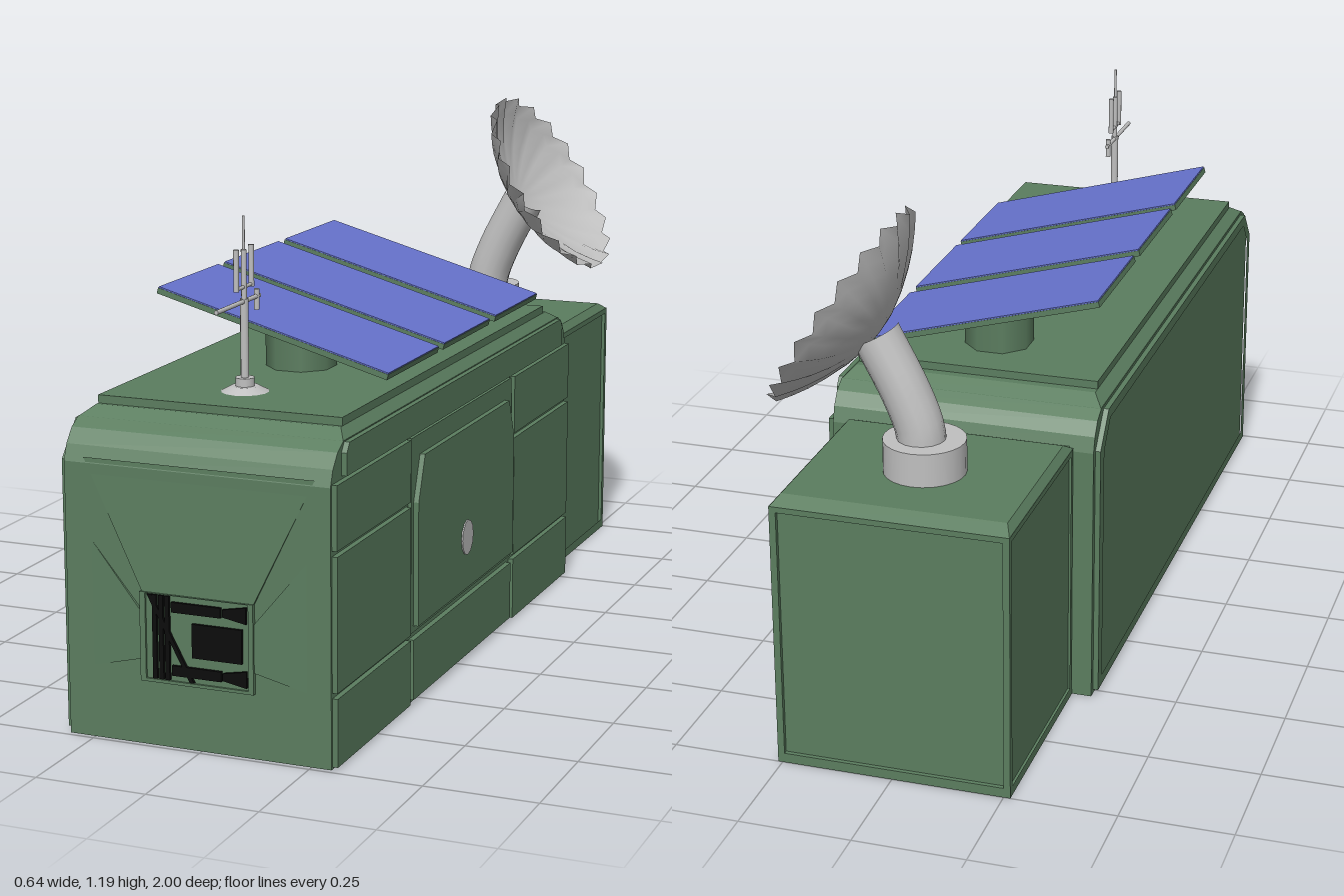
import * as THREE from 'three';
import { ConvexGeometry } from 'three/addons/geometries/ConvexGeometry.js';

const mat = (name, color, extra = {}) => {
  const m = new THREE.MeshStandardMaterial({ color, ...extra });
  m.name = name;
  return m;
};

export function createModel() {
  const green = mat('green paint', 0x5b7d5f);
  const blue = mat('solar blue', 0x6672cc);
  const grey = mat('light grey', 0xc0c0c0);
  const dishGrey = mat('dish grey', 0xc0c0c0, { side: THREE.DoubleSide });
  const black = mat('black', 0x0a0a0a);
  const root = new THREE.Group();
  root.name = 'mobileStation';

  const add = (name, geo, material, parent = root) => {
    const m = new THREE.Mesh(geo, material);
    m.name = name;
    parent.add(m);
    return m;
  };
  // Box given by its extents
  const box = (name, x0, x1, y0, y1, z0, z1, material = green) =>
    add(name, new THREE.BoxGeometry(x1 - x0, y1 - y0, z1 - z0)
      .translate((x0 + x1) / 2, (y0 + y1) / 2, (z0 + z1) / 2), material);
  const shapeOf = (pts, hole) => {
    const s = new THREE.Shape(pts.map(p => new THREE.Vector2(...p)));
    if (hole) s.holes.push(new THREE.Path(hole.map(p => new THREE.Vector2(...p))));
    return s;
  };
  const extrude = (shape, depth) => new THREE.ExtrudeGeometry(shape, { depth, bevelEnabled: false });
  // Outline of [z, y] points extruded from x0 to x1
  const slabX = (name, pts, x0, x1, hole, material = green) => {
    const flip = a => a && a.map(([z, y]) => [-z, y]);
    return add(name, extrude(shapeOf(flip(pts), flip(hole)), x1 - x0).rotateY(Math.PI / 2).translate(x0, 0, 0), material);
  };
  // Outline of [x, y] points extruded from z0 to z1
  const slabZ = (name, pts, z0, z1, hole, material = green) =>
    add(name, extrude(shapeOf(pts, hole), z1 - z0).translate(0, 0, z0), material);
  const rect = (a0, a1, b0, b1) => [[a0, b0], [a1, b0], [a1, b1], [a0, b1]];
  const hull = (name, pts) => add(name, new ConvexGeometry(pts.map(p => new THREE.Vector3(...p))), green);
  // Tapered roof between a lower and an upper rectangle [x0, x1, z0, z1]
  const taper = (name, lo, hi, y0, y1) => hull(name, [[lo, y0], [hi, y1]].flatMap(([r, y]) =>
    [[r[0], y, r[2]], [r[1], y, r[2]], [r[0], y, r[3]], [r[1], y, r[3]]]));
  const rod = (name, r, from, to, material = grey, sides = 10) => {
    const a = new THREE.Vector3(...from), b = new THREE.Vector3(...to);
    const m = add(name, new THREE.CylinderGeometry(r, r, a.distanceTo(b), sides), material);
    m.position.copy(a).lerp(b, 0.5);
    m.quaternion.setFromUnitVectors(new THREE.Vector3(0, 1, 0), b.sub(a).normalize());
    return m;
  };

  // Main cabin with rounded front and rear roof edges
  slabX('cabin', [[-0.53, 0], [0.988, 0], [0.988, 0.6], [0.975, 0.635], [0.95, 0.665], [0.92, 0.682],
    [-0.47, 0.682], [-0.5, 0.665], [-0.52, 0.635], [-0.53, 0.6]], -0.31, 0.295);
  taper('roofEdge', [-0.31, 0.295, -0.47, 0.92], [-0.285, 0.275, -0.43, 0.885], 0.681, 0.702);
  box('roofPlate', -0.285, 0.275, 0.69, 0.72, -0.41, 0.877);

  // Right wall: raised frame around a plain panel
  slabX('rightWallFrame',
    [[-0.515, 0.01], [0.975, 0.01], [0.975, 0.6], [0.91, 0.675], [-0.45, 0.675], [-0.515, 0.6]], -0.322, -0.31,
    [[-0.485, 0.035], [0.945, 0.035], [0.945, 0.59], [0.895, 0.65], [-0.435, 0.65], [-0.485, 0.59]]);

  // Left wall: panel columns, top band and door
  for (const [z0, z1] of [[0.57, 0.982], [-0.525, -0.11]])
    for (const [y0, y1] of [[0.005, 0.153], [0.165, 0.455], [0.467, 0.605]])
      box('wallPanel', 0.29, 0.307, y0, y1, z0, z1);
  slabX('topBand', [[-0.47, 0.612], [0.93, 0.612], [0.93, 0.66], [0.915, 0.68], [-0.455, 0.68], [-0.47, 0.66]], 0.29, 0.307);
  box('doorSurround', 0.29, 0.303, 0.165, 0.605, -0.098, 0.558);
  slabX('door', [[-0.085, 0.18], [0.545, 0.18], [0.545, 0.46], [0.507, 0.56], [-0.05, 0.56], [-0.085, 0.47]], 0.295, 0.315);
  box('doorStep', 0.29, 0.308, 0.012, 0.15, -0.09, 0.555);
  const knob = add('doorDisc', new THREE.CylinderGeometry(0.036, 0.036, 0.006, 12).rotateZ(Math.PI / 2), grey);
  knob.position.set(0.315, 0.302, 0.238);
  knob.scale.y = 1.15;

  // Nose: control box with wedges sloping up to it
  const zf = 0.987, zr = 0.995;
  hull('noseTopWedge', [[-0.265, 0.612, zf], [0.26, 0.612, zf], [-0.13, 0.337, zf], [0.125, 0.337, zf],
    [-0.13, 0.337, zr], [0.125, 0.337, zr]]);
  for (const s of [-1, 1]) {
    const x = d => -0.004 + s * d;
    hull('noseSideWedge', [[x(0.262), 0.455, zf], [x(0.262), 0.155, zf], [x(0.13), 0.295, zf], [x(0.13), 0.19, zf],
      [x(0.13), 0.295, zr], [x(0.13), 0.19, zr]]);
  }
  slabZ('controlFrame', rect(-0.135, 0.125, 0.143, 0.338), 0.98, 0.998, rect(-0.122, 0.114, 0.15, 0.336));
  box('controlPlate', -0.125, 0.116, 0.148, 0.337, 0.98, 0.993);
  const detail = (name, pts) => slabZ(name, pts, 0.992, 1.0, null, black);
  for (const x of [-0.1, -0.085, -0.071]) detail('controlBar', rect(x - 0.005, x + 0.005, 0.152, 0.335));
  detail('controlStrut', [[-0.117, 0.335], [-0.107, 0.335], [-0.01, 0.152], [-0.02, 0.152]]);
  for (const y of [0.312, 0.174]) {
    detail('controlLever', rect(-0.061, 0.052, y - 0.011, y + 0.011));
    detail('controlHandle', [[0.056, y - 0.008], [0.11, y - 0.018], [0.11, y + 0.018], [0.056, y + 0.008]]);
  }
  detail('controlScreen', rect(-0.014, 0.1, 0.207, 0.281));

  // Rear equipment box with raised frames
  box('rearBox', -0.255, 0.25, 0, 0.61, -0.99, -0.52);
  taper('rearBoxRoof', [-0.265, 0.26, -1, -0.53], [-0.25, 0.245, -0.965, -0.56], 0.607, 0.625);
  box('rearBoxSill', -0.265, 0.26, 0, 0.012, -1, -0.53);
  const sideFrame = rect(-1, -0.535, 0.01, 0.608), sideHole = rect(-0.985, -0.55, 0.022, 0.595);
  slabX('rearBoxLeftFrame', sideFrame, 0.25, 0.26, sideHole);
  slabX('rearBoxRightFrame', sideFrame, -0.265, -0.255, sideHole);
  slabZ('rearBoxBackFrame', rect(-0.265, 0.26, 0.01, 0.608), -1, -0.99, rect(-0.25, 0.245, 0.022, 0.595));

  // Tilted solar panels on octagonal mounts
  for (const z of [0.443, 0.103, -0.243]) {
    add('solarMount', new THREE.CylinderGeometry(0.079, 0.079, 0.085, 8).rotateY(Math.PI / 8).toNonIndexed(), green)
      .position.set(-0.005, 0.76, z);
    const panel = new THREE.Group();
    panel.name = 'solarPanel';
    panel.position.set(-0.01, 0.82, z);
    panel.rotation.z = -0.27;
    add('panelBacking', new THREE.BoxGeometry(0.565, 0.013, 0.306), green, panel);
    add('panelCells', new THREE.BoxGeometry(0.563, 0.003, 0.304), blue, panel).position.y = 0.008;
    root.add(panel);
  }

  // Antenna mast
  const ax = -0.012, az = 0.727;
  add('mastFoot', new THREE.CylinderGeometry(0.03, 0.052, 0.012, 14), grey).position.set(ax, 0.726, az);
  rod('mastSocket', 0.021, [ax, 0.725, az], [ax, 0.75, az], grey, 14);
  rod('mast', 0.009, [ax, 0.74, az], [ax, 0.92, az]);
  rod('mastUpper', 0.006, [ax, 0.92, az], [ax, 1.025, az]);
  rod('mastTip', 0.003, [ax, 1.02, az], [ax, 1.097, az]);
  rod('crossbar', 0.005, [ax, 0.914, 0.865], [ax, 0.914, 0.65]);
  rod('crossbarDrop', 0.006, [ax, 0.885, 0.663], [ax, 0.93, 0.663]);
  rod('forkBar', 0.004, [ax, 0.945, 0.765], [ax, 0.945, 0.689]);
  for (const z of [0.765, 0.689]) rod('forkProng', 0.006, [ax, 0.94, z], [ax, 1.03, z]);

  // Dish pedestal and bent neck
  rod('dishBase', 0.09, [-0.005, 0.615, -0.768], [-0.005, 0.7, -0.768], grey, 24);
  const neck = new THREE.CatmullRomCurve3([[0, 0.66], [0.005, 0.72], [0.035, 0.8], [0.1, 0.925]]
    .map(([x, y]) => new THREE.Vector3(x, y, -0.768)));
  add('dishNeck', new THREE.TubeGeometry(neck, 12, 0.053, 16), grey);

  // Scalloped dish: a paraboloid whose outer rings zigzag
  const R = 0.247, profile = [0.001, 0.2, 0.4, 0.6, 0.75, 0.88, 1].map(t => new THREE.Vector2(R * t, 0.1 * t * t));
  const dishGeo = new THREE.LatheGeometry(profile, 40);
  const pos = dishGeo.attributes.position;
  for (let i = 0; i < pos.count; i++) {
    const t = Math.hypot(pos.getX(i), pos.getZ(i)) / R;
    const wave = Math.cos(20 * Math.atan2(pos.getX(i), pos.getZ(i)));
    pos.setY(i, pos.getY(i) + 0.011 * wave * Math.max(0, (t - 0.5) * 2));
  }
  dishGeo.computeVertexNormals();
  const dish = add('dish', dishGeo, dishGrey);
  dish.position.set(0.096, 0.923, -0.752);
  dish.rotation.z = -1.0;

  return root;
}
